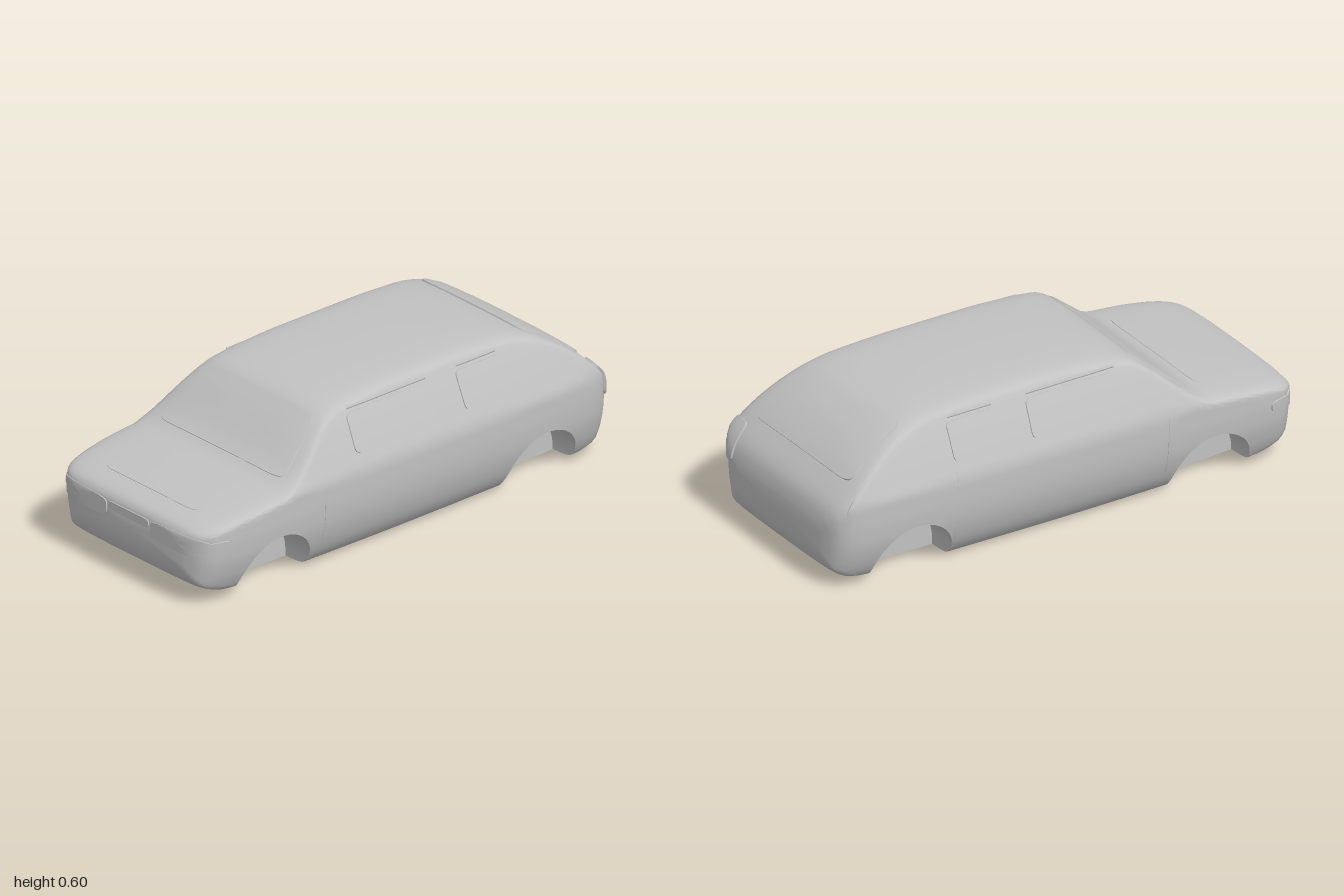
import * as THREE from 'three';
import { toCreasedNormals } from 'three/addons/utils/BufferGeometryUtils.js';

const paint = new THREE.MeshStandardMaterial({ color: 0xc2c2c2, side: THREE.DoubleSide });
paint.name = 'grey paint';

// Smooth monotone curve through [position, value] pairs, positions rising
function curve(pts) {
  const n = pts.length;
  const slope = (i) => (pts[i + 1][1] - pts[i][1]) / (pts[i + 1][0] - pts[i][0]);
  const tan = pts.map((p, i) => {
    if (i === 0) return slope(0);
    if (i === n - 1) return slope(n - 2);
    const a = slope(i - 1), b = slope(i);
    return a * b <= 0 ? 0 : (2 * a * b) / (a + b);
  });
  return (x) => {
    if (x <= pts[0][0]) return pts[0][1];
    if (x >= pts[n - 1][0]) return pts[n - 1][1];
    let i = 0;
    while (x > pts[i + 1][0]) i++;
    const h = pts[i + 1][0] - pts[i][0], t = (x - pts[i][0]) / h, s = 1 - t;
    return pts[i][1] * (1 + 2 * t) * s * s + tan[i] * h * t * s * s
      + pts[i + 1][1] * t * t * (3 - 2 * t) - tan[i + 1] * h * t * t * s;
  };
}

// Side outline, floor line, plan half width and flank shape
const top = curve([[-1, 0.25], [-0.99, 0.3], [-0.97, 0.34], [-0.93, 0.385], [-0.85, 0.46], [-0.75, 0.53],
  [-0.65, 0.577], [-0.55, 0.598], [-0.3, 0.61], [0, 0.61], [0.2, 0.598], [0.32, 0.578], [0.38, 0.54],
  [0.56, 0.397], [0.61, 0.375], [0.75, 0.36], [0.9, 0.338], [0.97, 0.32], [0.99, 0.307], [1, 0.29]]);
const floor = curve([[-1, 0.13], [-0.99, 0.095], [-0.97, 0.065], [-0.93, 0.04], [-0.85, 0.022], [-0.5, 0.01],
  [0, 0.006], [0.5, 0.012], [0.7, 0.02], [0.85, 0.035], [0.93, 0.06], [0.97, 0.085], [0.99, 0.115], [1, 0.15]]);
const plan = curve([[0, 0.424], [0.7, 0.423], [0.85, 0.415], [0.93, 0.4], [0.97, 0.373], [0.99, 0.335], [1, 0.28]]);
const flank = curve([[0, 0.8], [0.025, 0.82], [0.05, 0.87], [0.12, 0.945], [0.2, 0.988], [0.28, 1], [0.34, 1],
  [0.4, 0.95], [0.5, 0.845], [0.59, 0.74], [0.62, 0.71]]);
const ROOF_R = 0.055, FLOOR_R = 0.03;

// Half width of the body at height y and station z
function halfWidth(y, z) {
  const up = Math.min(1, Math.max(0, (y - top(z) + ROOF_R) / ROOF_R));
  const down = Math.min(1, Math.max(0, (floor(z) + FLOOR_R - y) / FLOOR_R));
  return plan(Math.abs(z)) * flank(y) * Math.cbrt(1 - up ** 6) * Math.cbrt(1 - down ** 6);
}
function bisect(inside, a, b) {
  for (let i = 0; i < 30; i++) {
    const m = (a + b) / 2;
    if (inside(m)) a = m; else b = m;
  }
  return a;
}
const bottomY = (x, z) => bisect((y) => halfWidth(y, z) >= x, floor(z) + FLOOR_R, floor(z));

// Surface lookups used by the fitted panels
const onSide = (s) => (z, y) => new THREE.Vector3(s * halfWidth(y, z), y, z);
const onTop = (x, z) => new THREE.Vector3(x,
  bisect((y) => halfWidth(y, z) >= Math.abs(x), (floor(z) + top(z)) / 2, top(z)), z);
const onEnd = (s) => (x, y) => new THREE.Vector3(x, y, s * bisect((d) =>
  y > floor(s * d) && y < top(s * d) && halfWidth(y, s * d) >= Math.abs(x), 0.5, 1));

// Wheel arches: semicircles cut across the body
const ARCHES = [0.63, -0.66], ARCH_R = 0.17, ARCH_Y = 0.04;
function archHeight(z) {
  let h = 0;
  for (const c of ARCHES) {
    const d = Math.abs(z - c);
    if (d < ARCH_R - 1e-5) h = ARCH_Y + Math.sqrt(ARCH_R ** 2 - d * d);
  }
  return h;
}

// Half section from floor centre, past the arch step, up the flank to the roof centre
function halfSection(z) {
  const pts = [], low = floor(z) + 0.02, arch = archHeight(z), cut = arch > low;
  const h = cut ? arch : low, xi = Math.min(0.25, 0.7 * halfWidth(low, z));
  for (let i = 0; i <= 5; i++) pts.push([xi * i / 5, bottomY(xi * i / 5, z)]);
  const y0 = pts[5][1];
  for (let i = 1; i <= 3; i++) pts.push([xi, cut ? y0 + (h - y0) * i / 3 : y0]);
  const xo = halfWidth(h, z);
  for (let i = 1; i <= 8; i++) {
    const x = xi + (xo - xi) * Math.sin(i / 8 * Math.PI / 2);
    pts.push([x, cut || i === 8 ? h : bottomY(x, z)]);
  }
  const shoulder = Math.max(h + 0.01, top(z) - ROOF_R);
  for (let i = 1; i <= 18; i++) {
    const y = h + (shoulder - h) * i / 18;
    pts.push([halfWidth(y, z), y]);
  }
  for (let i = 1; i <= 16; i++) {
    const s = 1 - (i / 16) ** 3;
    const y = top(z) - ROOF_R + ROOF_R * (1 - s ** 3) ** (1 / 6);
    pts.push([plan(Math.abs(z)) * flank(y) * s, y]);
  }
  return pts;
}

function bodyGeometry() {
  const stations = [1, 0.997, 0.99, 0.98, 0.97, 0.95, 0.93, 0.9, 0.87, 0.84, 0.82];
  const zs = stations.concat(stations.map((z) => -z));
  for (let z = -0.46; z < 0.46; z += 0.03) zs.push(z);
  for (const c of ARCHES) for (let i = 0; i <= 28; i++) zs.push(c + ARCH_R * Math.cos(Math.PI * i / 28));
  zs.sort((a, b) => b - a);
  const pos = [], idx = [];
  let n = 0;
  for (const z of zs) {
    const half = halfSection(z);
    const loop = half.concat(half.slice(1, -1).reverse().map(([x, y]) => [-x, y]));
    n = loop.length;
    for (const [x, y] of loop) pos.push(x, y, z);
  }
  const last = (zs.length - 1) * n, tip = zs.length * n;
  pos.push(0, 0.22, 1, 0, 0.2, -1);
  for (let j = 0; j < n; j++) {
    const k = (j + 1) % n;
    for (let i = 0; i < last; i += n) idx.push(i + j, i + n + j, i + k, i + k, i + n + j, i + n + k);
    idx.push(tip, j, k, tip + 1, last + k, last + j);
  }
  const g = new THREE.BufferGeometry();
  g.setAttribute('position', new THREE.Float32BufferAttribute(pos, 3));
  g.setIndex(idx);
  return toCreasedNormals(g, 0.7);
}

// Rounded panel laid on a surface; taper widens (+) or narrows (-) it towards larger v
function panel(name, surface, u0, u1, v0, v1, lift, taper = 0, power = 8) {
  const SEG = 64, rings = [0, 0.25, 0.5, 0.75, 0.9, 0.97, 1, 1.01], pos = [], idx = [];
  const pw = (c) => Math.sign(c) * Math.abs(c) ** (2 / power);
  rings.forEach((r, k) => {
    for (let i = 0; i < SEG; i++) {
      const a = i / SEG * Math.PI * 2, b = r * pw(Math.sin(a));
      const u = (u0 + u1) / 2 + (u1 - u0) / 2 * r * pw(Math.cos(a)) * (1 + taper * b);
      const v = (v0 + v1) / 2 + (v1 - v0) / 2 * b, e = 0.004;
      const p = surface(u, v);
      const normal = surface(u + e, v).sub(surface(u - e, v))
        .cross(surface(u, v + e).sub(surface(u, v - e))).normalize();
      if (normal.dot(new THREE.Vector3(p.x, p.y - 0.25, p.z * 0.3)) < 0) normal.negate();
      p.addScaledVector(normal, k === rings.length - 1 ? -0.004 : lift);
      pos.push(p.x, p.y, p.z);
      if (k > 0) {
        const o = (k - 1) * SEG, j = (i + 1) % SEG;
        idx.push(o + i, o + SEG + i, o + j, o + j, o + SEG + i, o + SEG + j);
      }
    }
  });
  const g = new THREE.BufferGeometry();
  g.setAttribute('position', new THREE.Float32BufferAttribute(pos, 3));
  g.setIndex(idx);
  return mesh(name, toCreasedNormals(g, 0.7));
}
function mesh(name, geometry) {
  const m = new THREE.Mesh(geometry, paint);
  m.name = name;
  return m;
}
// Thin bead following surface points
const bead = (name, points, r) => mesh(name,
  new THREE.TubeGeometry(new THREE.CatmullRomCurve3(points), 24, r, 6));

export function createModel() {
  const car = new THREE.Group();
  car.name = 'carBody';
  car.add(mesh('bodyShell', bodyGeometry()));

  // Glass, bonnet and nose panels
  car.add(panel('windscreen', onTop, -0.315, 0.315, 0.35, 0.565, 0.003, 0.09, 10));
  car.add(panel('bonnet', onTop, -0.275, 0.275, 0.62, 0.9, 0.002, -0.08, 12));
  car.add(panel('rearWindow', onTop, -0.305, 0.305, -0.9, -0.65, 0.006, -0.07, 10));
  car.add(panel('grille', onEnd(1), -0.11, 0.11, 0.25, 0.284, 0.004, 0, 6));

  // Side windows, lamps and door seams on both sides
  for (const s of [1, -1]) {
    const side = onSide(s), label = s > 0 ? 'left' : 'right';
    car.add(panel(label + 'FrontWindow', side, -0.15, 0.25, 0.41, 0.55, 0.004, -0.01, 10));
    car.add(panel(label + 'RearWindow', side, -0.49, -0.28, 0.415, 0.55, 0.004, 0, 10));
    for (const [a, b] of [[-0.14, 0.24], [-0.48, -0.29]]) {
      const rail = [0, 0.25, 0.5, 0.75, 1].map((t) => side(a + (b - a) * t, 0.566));
      car.add(bead(label + 'WindowRail', rail, 0.006));
    }
    const x0 = s > 0 ? 0.12 : -0.39, x1 = s > 0 ? 0.39 : -0.12;
    car.add(panel(label + 'Headlight', onEnd(1), x0, x1, 0.215, 0.288, 0.004, 0, 5));
    car.add(panel(label + 'CornerLamp', side, 0.87, 0.965, 0.23, 0.275, 0.006, 0, 3));
    const t0 = s > 0 ? 0.305 : -0.39, t1 = s > 0 ? 0.39 : -0.305;
    car.add(panel(label + 'TailLight', onEnd(-1), t0, t1, 0.25, 0.385, 0.008, 0, 5));
    const seam = [0.06, 0.13, 0.2, 0.27, 0.34].map((y) => side(0.42, y));
    car.add(bead(label + 'DoorSeam', seam, 0.0015));
  }
  return car;
}
